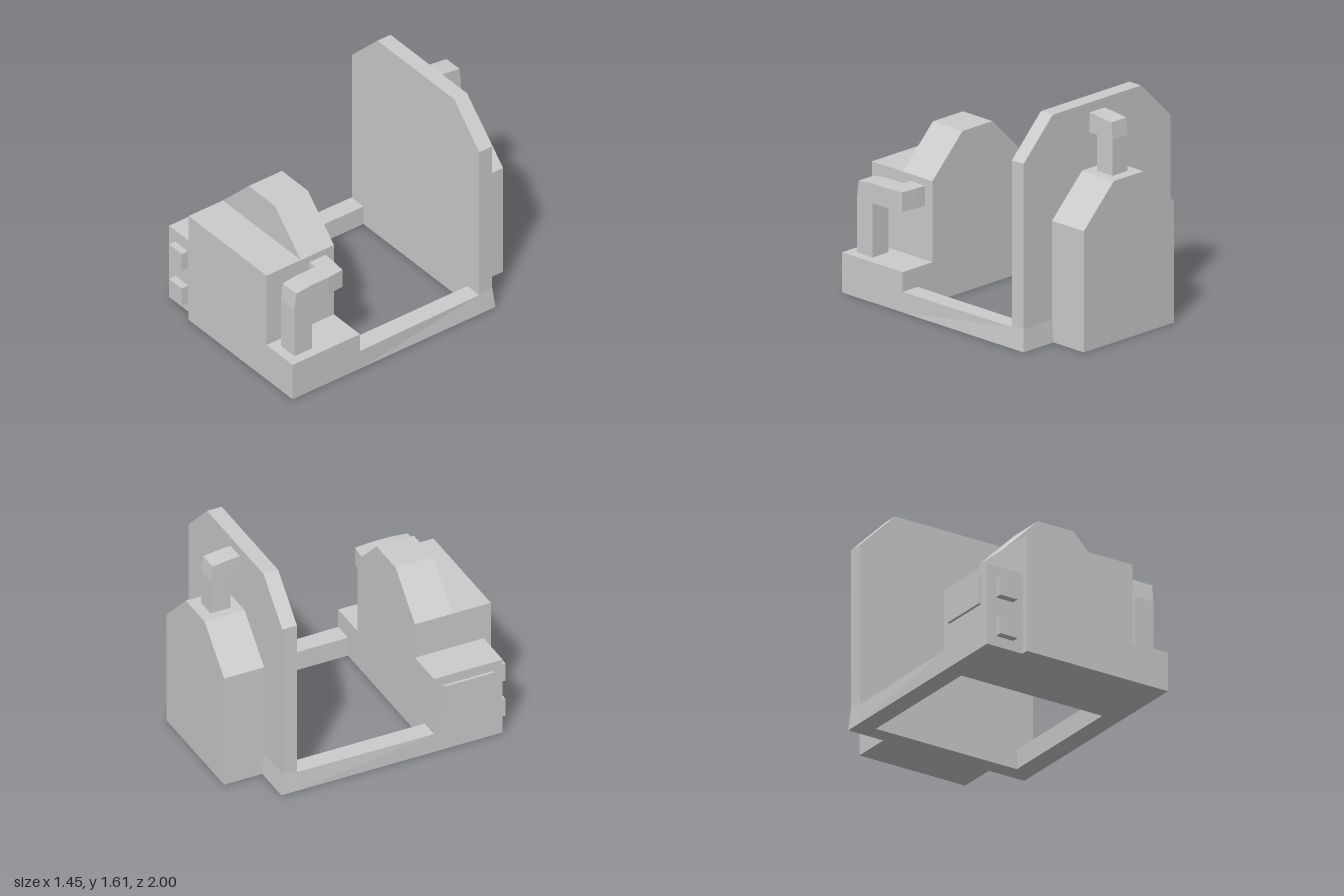
import * as THREE from 'three';

export function createModel() {
  const model = new THREE.Group();
  const material = new THREE.MeshStandardMaterial({ color: 0xcccccc, flatShading: true });

  function add(name, geometry) {
    const mesh = new THREE.Mesh(geometry, material);
    mesh.name = name;
    model.add(mesh);
    return mesh;
  }

  // Box given by its limits on each axis
  function box(name, [x0, x1], [y0, y1], [z0, z1]) {
    const g = new THREE.BoxGeometry(x1 - x0, y1 - y0, z1 - z0);
    g.translate((x0 + x1) / 2, (y0 + y1) / 2, (z0 + z1) / 2);
    return add(name, g);
  }

  // Move the corners of a mesh by a rule
  function reshape(mesh, rule) {
    const p = mesh.geometry.attributes.position;
    const v = new THREE.Vector3();
    for (let i = 0; i < p.count; i++) {
      v.fromBufferAttribute(p, i);
      rule(v);
      p.setXYZ(i, v.x, v.y, v.z);
    }
    mesh.geometry.computeVertexNormals();
  }

  function extrude(points, depth) {
    const shape = new THREE.Shape(points.map(([a, b]) => new THREE.Vector2(a, b)));
    return new THREE.ExtrudeGeometry(shape, { depth, bevelEnabled: false });
  }
  // Profiles drawn in (x, y), (z, y) and (x, z)
  const alongZ = (name, pts, z0, z1) => add(name, extrude(pts, z1 - z0).translate(0, 0, z0));
  const alongX = (name, pts, x0, x1) =>
    add(name, extrude(pts, x1 - x0).rotateY(-Math.PI / 2).translate(x1, 0, 0));
  const alongY = (name, pts, y0, y1) =>
    add(name, extrude(pts, y1 - y0).rotateX(Math.PI / 2).translate(0, y1, 0));

  // Front housing with its raised hump
  box('frontHousing', [-0.42, 0.435], [0, 0.86], [0.43, 1]);
  alongZ('frontHump', [[-0.42, 0.86], [0.435, 0.86], [0.15, 1.145], [-0.135, 1.145]], 0.43, 0.71);

  // Control box with two buttons and a side panel
  box('controlBox', [-0.705, -0.42], [0, 0.59], [0.43, 0.945]);
  for (const y of [0.075, 0.36]) box('button', [-0.635, -0.495], [y, y + 0.14], [0.945, 1]);
  box('sidePanel', [-0.725, -0.705], [0.32, 0.52], [0.5, 0.875]);

  // Step carrying the pipe
  box('pipeStep', [0.435, 0.72], [0, 0.285], [0.43, 1]);

  // Pipe: riser and top arm, then an elbow into the housing
  alongX('pipeRiser', [
    [0.78, 0.285], [0.93, 0.285], [0.93, 0.67], [0.915, 0.797],
    [0.78, 0.81], [0.64, 0.81], [0.64, 0.67], [0.78, 0.67],
  ], 0.5, 0.65);
  alongY('pipeElbow', [
    [0.435, 0.5], [0.51, 0.503], [0.638, 0.515], [0.65, 0.64], [0.435, 0.64],
  ], 0.67, 0.81);

  // Floor rails, drawn in slightly at the back of the top edge
  for (const [x0, x1] of [[-0.705, -0.565], [0.575, 0.72]]) {
    reshape(box('floorRail', [x0, x1], [0, 0.145], [-0.59, 0.43]), (v) => {
      if (v.y > 0.1 && v.z < 0) v.x = THREE.MathUtils.clamp(v.x, -0.695, 0.705);
    });
  }

  // Back plate on a flared foot
  alongZ('backPlate', [
    [-0.69, 0.16], [0.705, 0.16], [0.705, 1.33], [0.43, 1.61], [-0.41, 1.61], [-0.69, 1.33],
  ], -0.7, -0.59);
  reshape(box('backPlateFoot', [-0.69, 0.705], [0, 0.16], [-0.7, -0.59]), (v) => {
    if (v.y > 0.1) return;
    v.x = v.x < 0 ? -0.705 : 0.72;
    if (v.z < -0.65) v.z = -0.715;
  });

  // Rear housing and the hooked pipe on top of it
  alongZ('rearHousing', [
    [-0.42, 0], [0.435, 0], [0.435, 0.86], [0.15, 1.145], [-0.13, 1.145], [-0.42, 0.86],
  ], -1, -0.7);
  alongX('rearPipe', [
    [-0.92, 1.145], [-0.77, 1.145], [-0.77, 1.4], [-0.7, 1.4],
    [-0.7, 1.54], [-0.77, 1.537], [-0.905, 1.52], [-0.92, 1.4],
  ], -0.06, 0.08);

  return model;
}
